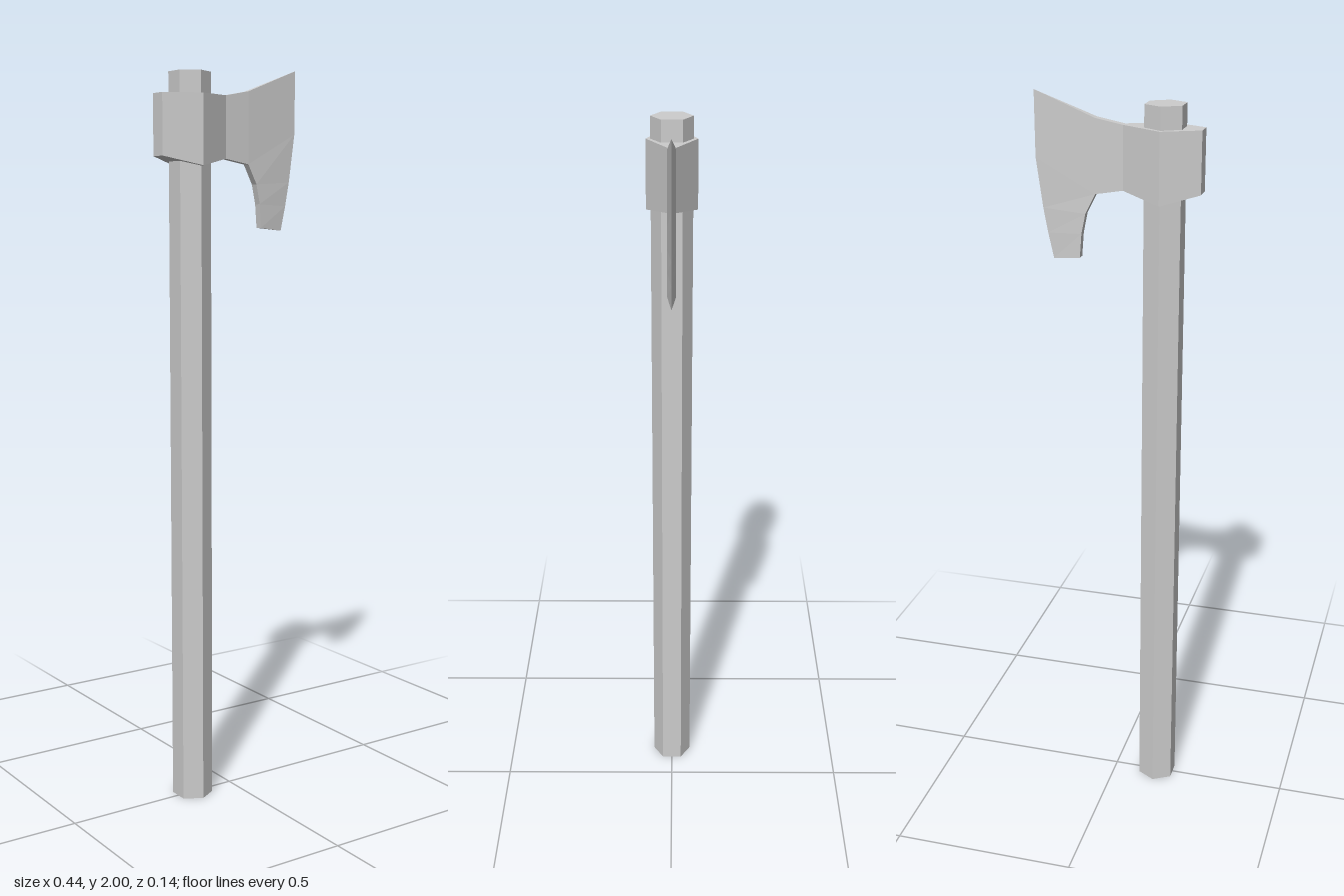
import * as THREE from 'three';

// Closed faceted solid through loops of points, each loop counterclockwise seen from the far end
function loft(loops) {
  const out = [];
  const tri = (a, b, c) => out.push(...a, ...b, ...c);
  const n = loops[0].length;
  for (let s = 0; s < loops.length - 1; s++) {
    const a = loops[s], b = loops[s + 1];
    for (let i = 0; i < n; i++) {
      const j = (i + 1) % n;
      tri(a[i], a[j], b[j]);
      tri(a[i], b[j], b[i]);
    }
  }
  const first = loops[0], last = loops[loops.length - 1];
  for (let i = 1; i < n - 1; i++) {
    tri(first[0], first[i + 1], first[i]);
    tri(last[0], last[i], last[i + 1]);
  }
  const g = new THREE.BufferGeometry();
  g.setAttribute('position', new THREE.Float32BufferAttribute(out, 3));
  g.computeVertexNormals();
  return g;
}

export function createModel() {
  const group = new THREE.Group();
  const grey = new THREE.MeshStandardMaterial({ color: 0xcccccc, flatShading: true });
  grey.name = 'plain grey';
  const add = (name, geometry) => {
    const mesh = new THREE.Mesh(geometry, grey);
    mesh.name = name;
    group.add(mesh);
    return mesh;
  };

  // Six-sided handle, with corners to the front and back
  add('handle', new THREE.CylinderGeometry(0.0555, 0.0555, 1.98, 6)).position.set(-0.125, 0.99, 0);

  // Socket and neck: x, bottom, top, half thickness
  const socket = [
    [-0.223, 1.762, 1.922, 0.023],
    [-0.126, 1.738, 1.922, 0.068],
    [-0.018, 1.759, 1.924, 0.011],
    [0.055, 1.746, 1.938, 0.011],
  ];
  add('socket', loft(socket.map(([x, b, t, z]) => [[x, b, z], [x, b, -z], [x, t, -z], [x, t, z]])));

  // Bearded blade, from tip to top: back x and y, cutting edge x and y
  const blade = [
    [0.098, 1.576, 0.172, 1.568],
    [0.093, 1.64, 0.187, 1.635],
    [0.082, 1.693, 0.199, 1.7],
    [0.055, 1.746, 0.217, 1.83],
    [0.055, 1.938, 0.218, 2.0],
  ];
  add('blade', loft(blade.map(([x, y, ex, ey]) => [[x, y, 0.011], [ex, ey, 0], [x, y, -0.011]])));

  return group;
}
